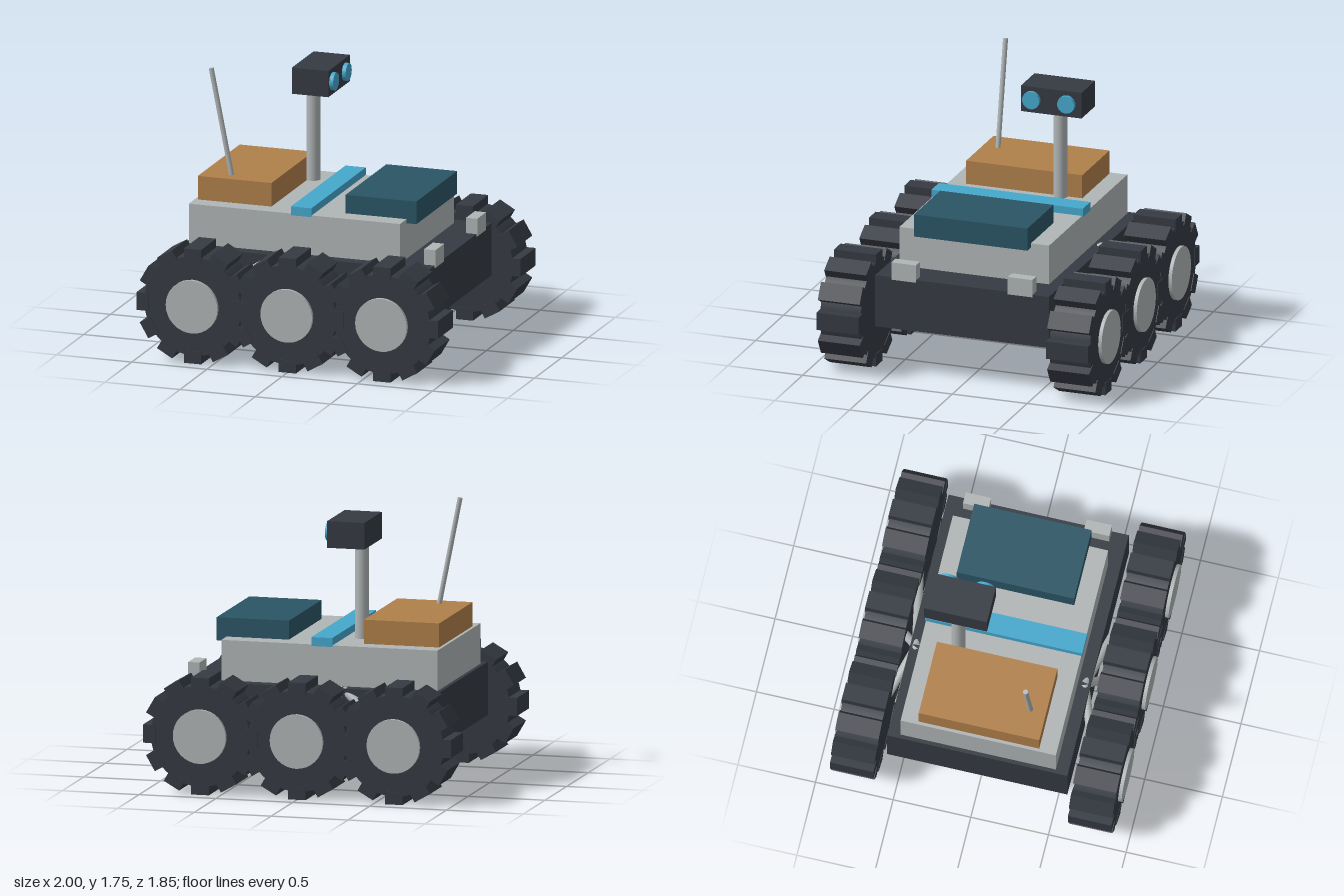
import * as THREE from 'three';

const mat = (name, color) => {
  const m = new THREE.MeshStandardMaterial({ color });
  m.name = name;
  return m;
};

export function createModel() {
  const dark = mat('charcoal', 0x353a42);
  const grey = mat('lightGrey', 0xb0b5b5);
  const tan = mat('tan', 0xb0804a);
  const teal = mat('darkTeal', 0x2a5565);
  const blue = mat('skyBlue', 0x45a8cc);

  const model = new THREE.Group();
  model.name = 'rover';

  const add = (name, geometry, material, parent = model) => {
    const mesh = new THREE.Mesh(geometry, material);
    mesh.name = name;
    parent.add(mesh);
    return mesh;
  };
  // Box given by its lower and upper limits on each axis
  const box = (name, material, [x0, x1], [y0, y1], [z0, z1]) =>
    add(name, new THREE.BoxGeometry(x1 - x0, y1 - y0, z1 - z0), material)
      .position.set((x0 + x1) / 2, (y0 + y1) / 2, (z0 + z1) / 2);
  // Round rod between two points
  const rod = (name, material, a, b, radius, sides = 16) => {
    const from = new THREE.Vector3(...a), to = new THREE.Vector3(...b);
    const dir = to.clone().sub(from);
    const mesh = add(name, new THREE.CylinderGeometry(radius, radius, dir.length(), sides), material);
    mesh.position.copy(from).add(to).multiplyScalar(0.5);
    mesh.quaternion.setFromUnitVectors(new THREE.Vector3(0, 1, 0), dir.normalize());
  };

  // Body and deck equipment
  box('chassis', dark, [-0.825, 0.825], [0.32, 0.66], [-0.58, 0.58]);
  box('upperBody', grey, [-0.8, 0.605], [0.66, 0.917], [-0.5, 0.5]);
  box('cargoBox', tan, [-0.78, -0.29], [0.9, 1.07], [-0.388, 0.388]);
  box('solarPanel', teal, [0.2, 0.67], [0.89, 1.037], [-0.378, 0.378]);
  box('deckStripe', blue, [-0.118, 0.017], [0.908, 0.965], [-0.506, 0.506]);
  for (const side of [1, -1]) {
    const z = side * 0.389;
    box(side > 0 ? 'rightLamp' : 'leftLamp', grey, [0.755, 0.83], [0.645, 0.76], [z - 0.082, z + 0.082]);
  }

  // Camera mast
  rod('mast', grey, [-0.243, 0.93, -0.26], [-0.243, 1.54, -0.26], 0.044, 24);
  box('cameraHead', dark, [-0.315, -0.073], [1.53, 1.7], [-0.464, -0.06]);
  for (const z of [-0.133, -0.367])
    rod('cameraLens', blue, [-0.09, 1.616, z], [-0.047, 1.616, z], 0.057, 24);

  // Antenna
  rod('antenna', grey, [-0.588, 1.05, 0.287], [-0.727, 1.75, 0.287], 0.016, 12);

  // Wheels with chunky treads, plus suspension arms
  const tyreGeo = new THREE.CylinderGeometry(0.322, 0.322, 0.27, 40).rotateX(Math.PI / 2);
  const treadGeo = new THREE.BoxGeometry(0.115, 0.08, 0.28);
  const hubGeo = new THREE.CylinderGeometry(0.172, 0.172, 0.08, 32).rotateX(Math.PI / 2);
  for (const side of [1, -1]) {
    for (const x of [-0.63, 0, 0.63]) {
      const wheel = new THREE.Group();
      wheel.name = 'wheel';
      wheel.position.set(x, 0.372, side * 0.766);
      model.add(wheel);
      add('tyre', tyreGeo, dark, wheel);
      add('hub', hubGeo, grey, wheel).position.z = side * 0.118;
      for (let i = 0; i < 12; i++) {
        const a = (i / 12) * Math.PI * 2;
        const tread = add('tread', treadGeo, dark, wheel);
        tread.position.set(-Math.sin(a) * 0.332, Math.cos(a) * 0.332, 0);
        tread.rotation.z = a;
      }
      rod('suspensionArm', grey, [-0.2, 0.645, side * 0.543], [x, 0.372, side * 0.71], 0.028);
    }
  }
  return model;
}
